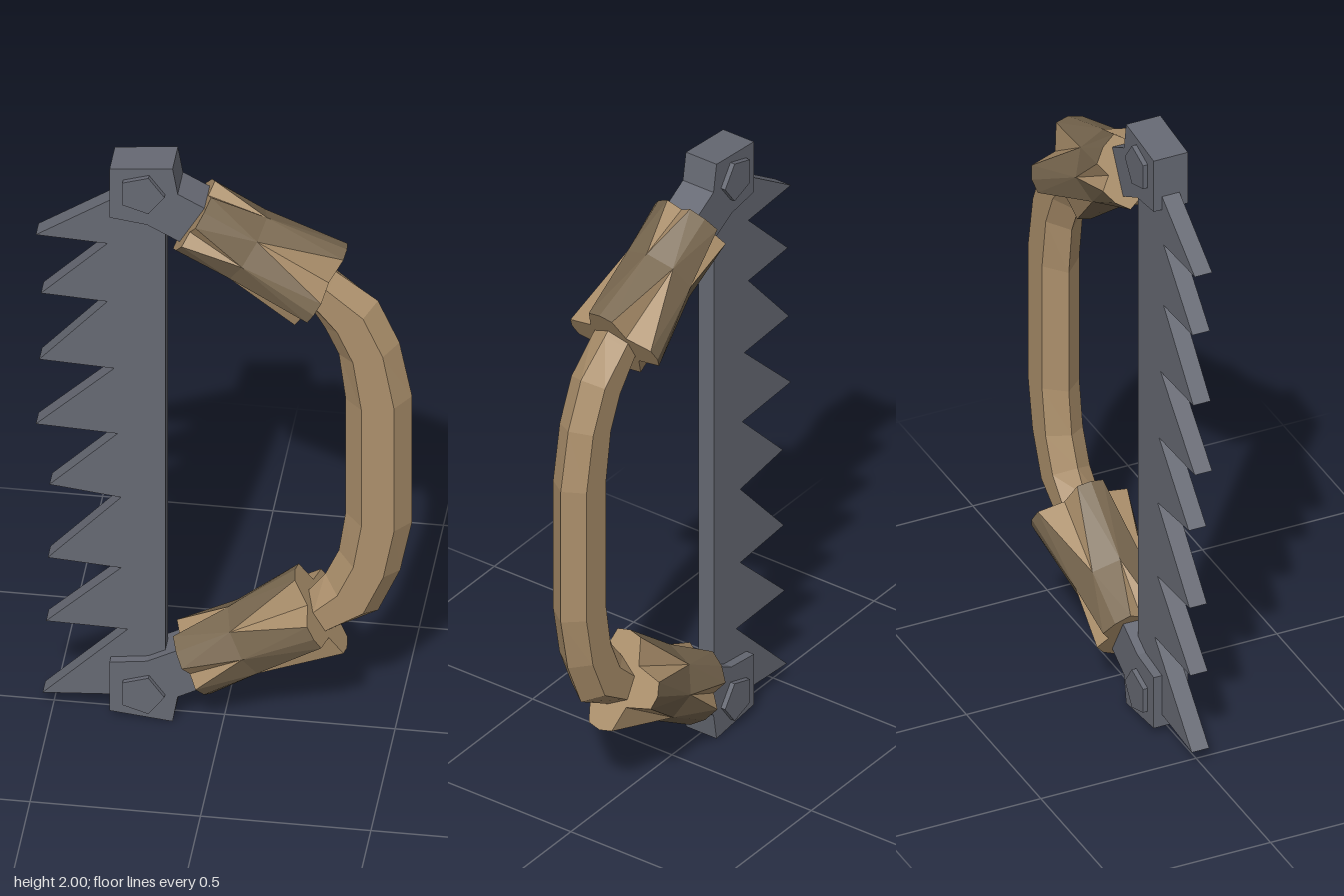
import * as THREE from 'three';

const steel = new THREE.MeshStandardMaterial({ color: 0x666973 });
steel.name = 'steel grey';
const wood = new THREE.MeshStandardMaterial({ color: 0xab8f6b });
wood.name = 'tan wood';
const bark = new THREE.MeshStandardMaterial({ color: 0x78674f });
bark.name = 'dark bark';

function plate(name, points, halfDepth) {
  const shape = new THREE.Shape(points.map(([x, y]) => new THREE.Vector2(x, y)));
  const geo = new THREE.ExtrudeGeometry(shape, { depth: halfDepth * 2, bevelEnabled: false });
  geo.translate(0, 0, -halfDepth);
  const mesh = new THREE.Mesh(geo, steel);
  mesh.name = name;
  return mesh;
}

// Faceted mesh from a list of triangle corners
function facets(name, corners, material) {
  const geo = new THREE.BufferGeometry().setFromPoints(corners);
  geo.computeVertexNormals();
  const mesh = new THREE.Mesh(geo, material);
  mesh.name = name;
  return mesh;
}

// Six-sided handle lofted through pairs of outer and inner edge points
function makeHandle() {
  const rings = [
    [0.22, 1.72, 0.14, 1.60], [0.33, 1.635, 0.245, 1.515], [0.45, 1.545, 0.295, 1.43],
    [0.513, 1.40, 0.335, 1.34], [0.55, 1.21, 0.355, 1.18], [0.55, 0.755, 0.355, 0.77],
    [0.515, 0.577, 0.335, 0.63], [0.45, 0.425, 0.295, 0.54], [0.33, 0.355, 0.245, 0.475],
    [0.22, 0.28, 0.14, 0.40],
  ];
  const section = [[1, 0], [0.77, 0.06], [0.28, 0.06], [0, 0], [0.28, -0.06], [0.77, -0.06]];
  const pts = rings.map(([ox, oy, ix, iy]) => section.map(([f, z]) =>
    new THREE.Vector3(ix + (ox - ix) * f, iy + (oy - iy) * f, z)));
  const tris = [];
  for (let r = 0; r < pts.length - 1; r++) {
    for (let i = 0; i < 6; i++) {
      const j = (i + 1) % 6;
      const a = pts[r][i], b = pts[r][j], c = pts[r + 1][j], d = pts[r + 1][i];
      tris.push(a, b, d, b, c, d);
    }
  }
  return facets('handle', tris, wood);
}

// Split bark sleeve: grooves at the sides of one end, at the diagonals of the other
function makeSleeve(name, start, end) {
  const axis = end.clone().sub(start);
  const dir = axis.clone().normalize();
  const up = new THREE.Vector3(-dir.y, dir.x, 0);
  const outer = [], inner = [];
  for (let q = 0; q < 4; q++) {
    for (const s of [1, -1]) {
      const p = (t, r, deg) => {
        const a = THREE.MathUtils.degToRad(q * 90 + s * deg);
        return start.clone().addScaledVector(axis, t)
          .addScaledVector(up, r * Math.cos(a))
          .add(new THREE.Vector3(0, 0, r * Math.sin(a)));
      };
      const tri = (list, a, b, c) => (s > 0 ? list.push(a, b, c) : list.push(a, c, b));
      const O = p(0, 0, 0), G = p(0, 0.085, 0), L = p(0, 0.12, 20), M = p(0, 0.118, 45);
      const A = p(0.42, 0.116, 0), B = p(0.42, 0.115, 45);
      const E = p(1, 0, 0), T = p(1, 0.154, 0), C = p(1, 0.15, 16), D = p(1, 0.09, 45);
      // bark strips
      tri(outer, L, M, B);
      tri(outer, L, B, A);
      tri(outer, A, B, C);
      tri(outer, A, C, T);
      // bare grooves
      tri(inner, G, L, A);
      tri(inner, B, D, C);
      // cut ends
      tri(inner, O, M, L);
      tri(inner, O, L, G);
      tri(inner, E, T, C);
      tri(inner, E, C, D);
    }
  }
  const sleeve = new THREE.Group();
  sleeve.name = name;
  sleeve.add(facets('barkStrips', outer, bark), facets('grooves', inner, wood));
  return sleeve;
}

export function createModel() {
  const model = new THREE.Group();
  model.name = 'bowSaw';

  // Toothed blade
  model.add(plate('blade', [
    [-0.17, 1.85], [-0.33, 1.85], [-0.55, 1.70], [-0.34, 1.69], [-0.535, 1.49], [-0.34, 1.48],
    [-0.54, 1.25], [-0.32, 1.24], [-0.55, 1.015], [-0.31, 1.005], [-0.51, 0.80], [-0.30, 0.775],
    [-0.515, 0.535], [-0.30, 0.52], [-0.52, 0.305], [-0.28, 0.30], [-0.53, 0.045], [-0.33, 0.06],
    [-0.17, 0.10],
  ], 0.028));

  model.add(makeHandle());

  // Bracket, bolt and sleeve at each end
  for (const side of [1, -1]) {
    const tag = side > 0 ? 'top' : 'bottom';
    const y = (v) => 1 + side * (v - 1);
    model.add(plate(tag + 'Bracket', [
      [-0.33, 1.98], [-0.145, 2.0], [-0.13, 1.91], [-0.02, 1.85], [-0.09, 1.72],
      [-0.22, 1.79], [-0.33, 1.805],
    ].map(([px, py]) => [px, y(py)]), 0.055));

    const bolt = new THREE.Mesh(new THREE.CylinderGeometry(0.068, 0.068, 0.14, 5).toNonIndexed(), steel);
    bolt.geometry.computeVertexNormals();
    bolt.geometry.rotateY(Math.PI / 2);
    bolt.geometry.rotateX(Math.PI / 2);
    bolt.position.set(-0.235, y(1.905), 0);
    bolt.name = tag + 'Bolt';
    model.add(bolt);

    model.add(makeSleeve(tag + 'Sleeve',
      new THREE.Vector3(-0.09, y(1.80), 0), new THREE.Vector3(0.283, y(1.587), 0)));
  }
  return model;
}
